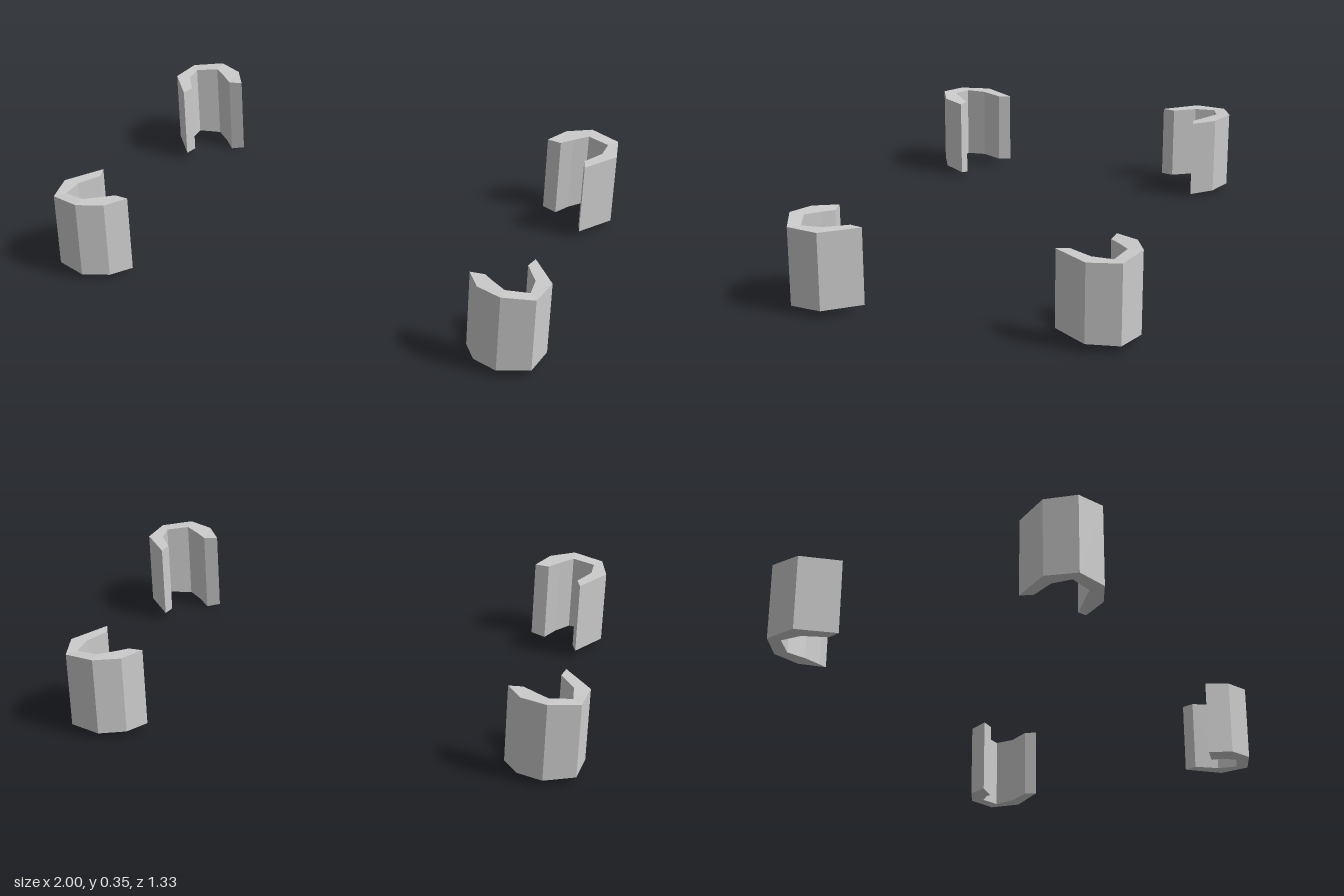
import * as THREE from 'three';

// Ribs along one C-shaped clip: outer x, z, bottom, top, then inner x, z, bottom, top
const RIBS = [
  [0.90, 0.362, 0.033, 0.336, 0.885, 0.412, 0.033, 0.336],
  [1.00, 0.496, 0.032, 0.336, 0.938, 0.50, 0.032, 0.336],
  [0.976, 0.622, 0.029, 0.337, 0.943, 0.582, 0.028, 0.336],
  [0.855, 0.666, 0.027, 0.348, 0.855, 0.609, 0.023, 0.344],
  [0.755, 0.622, 0.022, 0.343, 0.80, 0.565, 0.015, 0.34],
  [0.70, 0.533, 0.014, 0.338, 0.757, 0.526, 0.0, 0.336],
];

// Sweeps the four-cornered section through the ribs and caps both ends
function clipGeometry(sx, sz) {
  const rings = RIBS.map(([ox, oz, ob, ot, ix, iz, ib, it]) => [
    [ox * sx, ob, oz * sz],
    [ox * sx, ot, oz * sz],
    [ix * sx, it, iz * sz],
    [ix * sx, ib, iz * sz],
  ]);
  const positions = [];
  const quad = (a, b, c, d) => {
    const corners = sx * sz > 0 ? [a, b, c, a, c, d] : [a, c, b, a, d, c];
    corners.forEach((p) => positions.push(...p));
  };
  for (let i = 0; i < rings.length - 1; i++) {
    const a = rings[i], b = rings[i + 1];
    for (let j = 0; j < 4; j++) {
      const k = (j + 1) % 4;
      quad(a[j], a[k], b[k], b[j]);
    }
  }
  quad(...[...rings[0]].reverse());
  quad(...rings[rings.length - 1]);

  const geometry = new THREE.BufferGeometry();
  geometry.setAttribute('position', new THREE.Float32BufferAttribute(positions, 3));
  geometry.computeVertexNormals();
  return geometry;
}

export function createModel() {
  const group = new THREE.Group();
  group.name = 'cornerClips';
  const material = new THREE.MeshStandardMaterial({ color: 0xcccccc, flatShading: true });

  // One clip at each corner, mirrored across x and z
  for (const sx of [1, -1]) {
    for (const sz of [1, -1]) {
      const clip = new THREE.Mesh(clipGeometry(sx, sz), material);
      clip.name = (sz > 0 ? 'front' : 'back') + (sx > 0 ? 'Left' : 'Right') + 'Clip';
      group.add(clip);
    }
  }
  return group;
}
